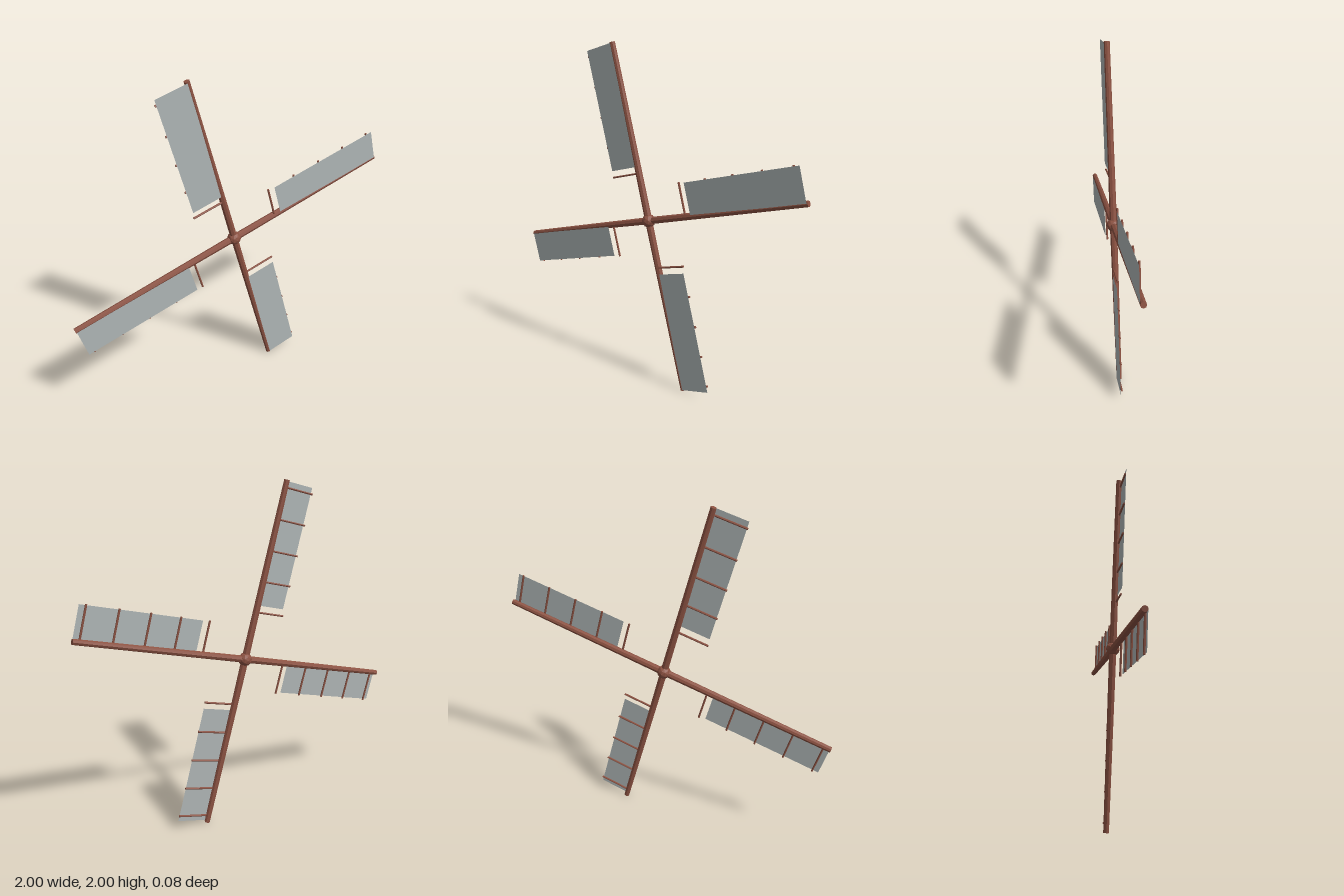
import * as THREE from 'three';

export function createModel() {
  const wood = new THREE.MeshStandardMaterial({ color: 0x8c5242 });
  wood.name = 'reddish wood';
  wood.flatShading = true;
  const cloth = new THREE.MeshStandardMaterial({ color: 0xaeb5b5, side: THREE.DoubleSide });
  cloth.name = 'grey cloth';

  const add = (parent, name, geometry, material, x, y, z) => {
    const mesh = new THREE.Mesh(geometry, material);
    mesh.name = name;
    mesh.position.set(x, y, z);
    parent.add(mesh);
    return mesh;
  };

  const model = new THREE.Group();
  model.name = 'windmillSails';
  add(model, 'hub', new THREE.IcosahedronGeometry(0.04, 1), wood, 0, 1, 0);

  // Each blade is built along +x, with its sail on the +y side
  const armLength = 1.031;
  const armGeometry = new THREE.CylinderGeometry(0.016, 0.021, armLength, 8).rotateZ(-Math.PI / 2);
  const barGeometry = new THREE.CylinderGeometry(0.006, 0.006, 0.196, 6);
  const sailGeometry = new THREE.PlaneGeometry(0.708, 0.186);

  for (let i = 0; i < 4; i++) {
    const blade = new THREE.Group();
    blade.name = 'blade' + (i + 1);
    blade.position.y = 1;
    blade.rotation.z = Math.PI / 12 + i * Math.PI / 2;
    add(blade, 'arm', armGeometry, wood, armLength / 2, 0, 0);

    // Crossbars behind the cloth; the innermost one is left bare
    for (let j = 0; j < 5; j++) {
      add(blade, 'crossbar' + (j + 1), barGeometry, wood, 0.279 + j * 0.178, 0.098, 0.009);
    }
    add(blade, 'sail', sailGeometry, cloth, 0.672, 0.097, 0.0155);
    model.add(blade);
  }
  return model;
}
